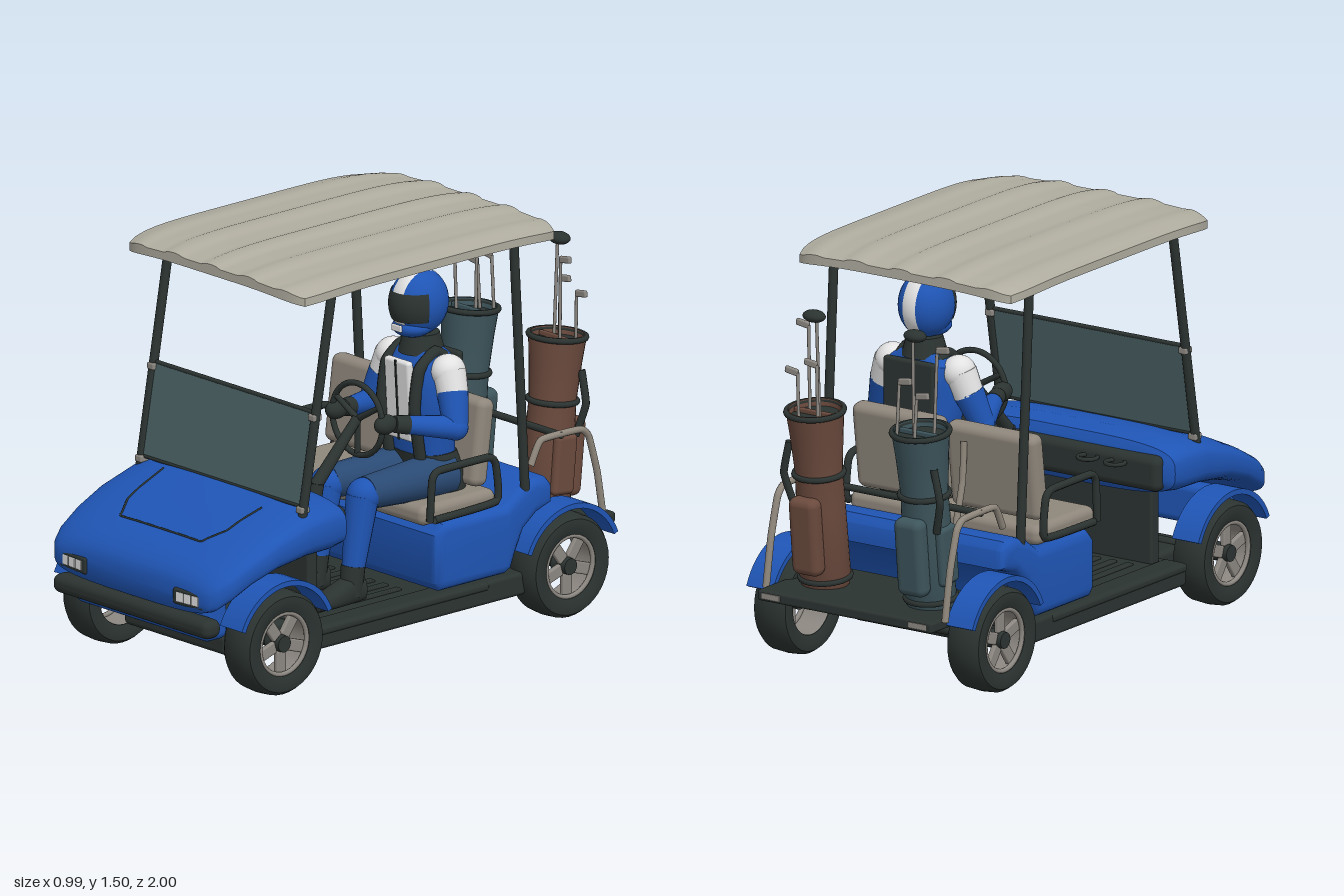
import * as THREE from 'three';
import { toCreasedNormals } from 'three/addons/utils/BufferGeometryUtils.js';
import { RoundedBoxGeometry } from 'three/addons/geometries/RoundedBoxGeometry.js';

const mat = (name, color, side = THREE.FrontSide) => {
  const m = new THREE.MeshStandardMaterial({ color, side });
  m.name = name;
  return m;
};
const V = (p) => new THREE.Vector3(...p);

// Stacked superellipse rings [x, y, z, halfWidth, halfHeight], z increasing
function loft(rings, n = 2, seg = 40) {
  const pos = [], idx = [], e = 2 / n;
  const pw = (v) => Math.sign(v) * Math.abs(v) ** e;
  for (const [x, y, z, a, b] of rings)
    for (let j = 0; j < seg; j++) {
      const t = (j / seg) * Math.PI * 2;
      pos.push(x + a * pw(Math.cos(t)), y + b * pw(Math.sin(t)), z);
    }
  const last = rings.length - 1, c = rings.length * seg;
  for (const r of [rings[0], rings[last]]) pos.push(r[0], r[1], r[2]);
  for (let j = 0; j < seg; j++) {
    const k = (j + 1) % seg;
    for (let i = 0; i < last; i++) {
      const p = i * seg, q = p + seg;
      idx.push(p + j, p + k, q + k, p + j, q + k, q + j);
    }
    idx.push(c, k, j, c + 1, last * seg + j, last * seg + k);
  }
  const g = new THREE.BufferGeometry();
  g.setAttribute('position', new THREE.Float32BufferAttribute(pos, 3));
  g.setIndex(idx);
  return toCreasedNormals(g, 0.7);
}

// Side profile of [z, y] points, extruded across x about centre cx
function sideExtrude(pts, width, cx, bevel = 0) {
  const s = new THREE.Shape(pts.map((p) => new THREE.Vector2(...p)));
  const g = new THREE.ExtrudeGeometry(s, {
    depth: width - 2 * bevel, bevelEnabled: bevel > 0, bevelSize: bevel, bevelOffset: -bevel,
    bevelThickness: bevel, bevelSegments: 4,
  });
  g.translate(0, 0, -(width - 2 * bevel) / 2).rotateY(-Math.PI / 2).translate(cx, 0, 0);
  return toCreasedNormals(g, 0.7);
}

export function createModel() {
  const root = new THREE.Group();
  root.name = 'golfCart';
  const blue = mat('blue paint', 0x1f55b5), dark = mat('dark trim', 0x2b3331, THREE.DoubleSide);
  const cream = mat('cream roof', 0xb0ada0), beige = mat('beige seat', 0x8f877c);
  const brown = mat('brown leather', 0x6b4a3d), teal = mat('slate bag', 0x3d555c);
  const glass = mat('tinted screen', 0x4b6265), white = mat('white', 0xe2e2e2);
  const denim = mat('slate blue cloth', 0x2a4a74), metal = mat('rim metal', 0x8c8781, THREE.DoubleSide);

  const add = (name, geo, m, p = [0, 0, 0], r = [0, 0, 0], parent = root) => {
    const mesh = new THREE.Mesh(geo, m);
    mesh.name = name;
    mesh.position.set(...p);
    mesh.rotation.set(...r);
    parent.add(mesh);
    return mesh;
  };
  const box = (name, w, h, d, m, p, rad = 0.01, r, parent) =>
    add(name, new RoundedBoxGeometry(w, h, d, 3, rad), m, p, r, parent);
  const ball = (name, r, s, m, p, parent) => add(name, new THREE.SphereGeometry(r, 24, 16), m, p, undefined, parent).scale.set(...s);
  const tube = (name, pts, r, m, parent) =>
    add(name, new THREE.TubeGeometry(new THREE.CatmullRomCurve3(pts.map(V), false, 'catmullrom', 0.2), pts.length * 8, r, 10), m, undefined, undefined, parent);
  // Tapered rod between two points
  const rod = (name, a, b, r1, r2, m, parent) => {
    const A = V(a), B = V(b), d = B.clone().sub(A);
    const mesh = add(name, new THREE.CylinderGeometry(r2, r1, d.length(), 18), m, A.clone().add(B).multiplyScalar(0.5).toArray(), undefined, parent);
    mesh.quaternion.setFromUnitVectors(new THREE.Vector3(0, 1, 0), d.normalize());
  };

  // Front cowl: [z, bottom, top, halfWidth]
  const cowl = [[0.35, 0.49, 0.61, 0.43], [0.37, 0.46, 0.652, 0.462], [0.43, 0.45, 0.672, 0.475], [0.55, 0.45, 0.66, 0.478],
    [0.7, 0.435, 0.61, 0.477], [0.82, 0.4, 0.556, 0.468], [0.91, 0.35, 0.51, 0.453], [0.955, 0.325, 0.48, 0.432], [0.975, 0.325, 0.455, 0.41], [0.985, 0.345, 0.43, 0.38]];
  add('frontCowl', loft(cowl.map(([z, b, t, w]) => [0, (b + t) / 2, z, w, (t - b) / 2]), 3.6, 56), blue);
  const cowlTop = (x, z) => {
    const i = Math.max(1, cowl.findIndex((s) => s[0] >= z));
    const [p, q] = [cowl[i - 1], cowl[i]], k = (z - p[0]) / (q[0] - p[0]);
    const [b, t, w] = [1, 2, 3].map((n) => p[n] + (q[n] - p[n]) * k);
    return (b + t) / 2 + ((t - b) / 2) * (1 - Math.abs(x / w) ** 3.6) ** (1 / 3.6);
  };
  // Bonnet seam laid on the cowl
  const corners = [[-0.28, 0.57], [-0.26, 0.76], [-0.21, 0.84], [0.21, 0.84], [0.26, 0.76], [0.28, 0.57]], seam = [];
  for (let i = 0; i < 5; i++)
    for (let k = 0; k < 5; k++) {
      const x = corners[i][0] + (corners[i + 1][0] - corners[i][0]) * k / 5, z = corners[i][1] + (corners[i + 1][1] - corners[i][1]) * k / 5;
      seam.push([x, cowlTop(x, z), z]);
    }
  tube('bonnetSeam', seam, 0.004, dark);
  box('frontApron', 0.7, 0.15, 0.11, blue, [0, 0.29, 0.885], 0.03);
  box('frontBumper', 0.82, 0.07, 0.08, dark, [0, 0.283, 0.955], 0.03);
  box('firewall', 0.68, 0.3, 0.05, dark, [0, 0.34, 0.42]);
  box('dashboard', 0.84, 0.13, 0.07, dark, [0, 0.55, 0.355], 0.03);
  for (const x of [-0.25, -0.13]) add('cupHolder', new THREE.TorusGeometry(0.035, 0.008, 8, 24), dark, [x, 0.58, 0.3], [Math.PI / 2, 0, 0]);

  // Chassis
  box('floorPan', 0.54, 0.075, 1.35, dark, [0, 0.153, 0.1], 0.02);
  box('floor', 0.7, 0.02, 1.0, dark, [0, 0.187, -0.02], 0.005);
  for (let i = -4; i <= 4; i++) box('floorRib', 0.03, 0.01, 0.4, dark, [i * 0.07, 0.2, 0.15], 0.004);
  box('rearDeck', 0.76, 0.04, 0.42, dark, [0, 0.29, -0.79]);
  for (const z of [0.685, -0.69]) rod('axle', [-0.4, 0.19, z], [0.4, 0.19, z], 0.018, 0.018, dark);

  // Seat pod
  add('seatPod', sideExtrude([[-0.085, 0.24], [-0.085, 0.42], [-0.12, 0.46], [-0.42, 0.46], [-0.49, 0.51], [-0.56, 0.535], [-0.62, 0.53], [-0.645, 0.5],
    [-0.645, 0.43], [-0.57, 0.405], [-0.51, 0.36], [-0.475, 0.29], [-0.45, 0.225], [-0.42, 0.21], [-0.11, 0.21]].reverse(), 0.89, 0, 0.035), blue);

  // Wheels, arches and everything paired left and right
  const arch = [];
  for (let i = 0; i <= 20; i++) { const t = 0.4 + (i / 20) * 2.35; arch.push([Math.cos(t) * 0.235, Math.sin(t) * 0.235]); }
  for (let i = 20; i >= 0; i--) { const t = 0.4 + (i / 20) * 2.35; arch.push([Math.cos(t) * 0.215, Math.sin(t) * 0.215]); }
  const tyre = [[0.118, -0.06], [0.15, -0.072], [0.175, -0.068], [0.188, -0.05], [0.192, 0], [0.188, 0.05], [0.175, 0.068], [0.15, 0.072], [0.118, 0.06], [0.118, -0.06]];
  for (const s of [-1, 1]) {
    for (const z of [0.685, -0.69]) {
      const wheel = new THREE.Group();
      wheel.name = 'wheel';
      wheel.position.set(s * 0.421, 0.193, z);
      wheel.rotation.z = -s * Math.PI / 2;
      root.add(wheel);
      add('tyre', toCreasedNormals(new THREE.LatheGeometry(tyre.map((p) => new THREE.Vector2(...p)), 40), 0.6), dark, undefined, undefined, wheel);
      add('rim', new THREE.CylinderGeometry(0.117, 0.117, 0.115, 40, 1, true), metal, undefined, undefined, wheel);
      add('rimLip', new THREE.TorusGeometry(0.112, 0.009, 8, 40), metal, [0, 0.052, 0], [Math.PI / 2, 0, 0], wheel);
      add('hub', new THREE.CylinderGeometry(0.03, 0.035, 0.07, 20), dark, [0, 0.025, 0], undefined, wheel);
      for (let i = 0; i < 5; i++) {
        const a = i * Math.PI * 0.4;
        box('spoke', 0.085, 0.02, 0.045, metal, [Math.cos(a) * 0.07, 0.035, -Math.sin(a) * 0.07], 0.006, [0, a, 0], wheel);
      }
      add('fender', sideExtrude(arch, 0.115, 0), blue, [s * 0.435, 0.193, z]);
    }
    box('sideStep', 0.1, 0.085, 1.0, dark, [s * 0.385, 0.158, -0.02], 0.015);
    box('stepTread', 0.06, 0.03, 0.82, dark, [s * 0.41, 0.183, 0.07], 0.012);
    // Headlights and tail lights
    box('headlightFrame', 0.15, 0.062, 0.03, dark, [s * 0.302, 0.382, 0.974], 0.01, [0, s * 0.08, 0]);
    for (let i = -1; i <= 1; i++) box('headlight', 0.033, 0.036, 0.008, white, [s * 0.302 + i * 0.037, 0.382, 0.988 - s * i * 0.003], 0.003, [0, s * 0.08, 0]);
    box('tailLight', 0.08, 0.022, 0.008, metal, [s * 0.32, 0.29, -0.999], 0.003);
    // Roof posts and armrests
    rod('frontPost', [s * 0.425, 0.6, 0.553], [s * 0.425, 1.465, 0.4], 0.017, 0.017, dark);
    rod('rearPost', [s * 0.425, 0.48, -0.522], [s * 0.425, 1.465, -0.465], 0.017, 0.017, dark);
    for (const y of [0.65, 0.98]) box('screenBracket', 0.035, 0.025, 0.04, metal, [s * 0.422, y, 0.55 - (y - 0.62) * 0.178], 0.006);
    tube('armrest', [[s * 0.43, 0.48, -0.06], [s * 0.43, 0.63, -0.07], [s * 0.43, 0.66, -0.1], [s * 0.43, 0.66, -0.34], [s * 0.43, 0.63, -0.375], [s * 0.43, 0.49, -0.38], [s * 0.43, 0.48, -0.08]], 0.014, dark);
    // Seats
    box('seatCushion', 0.41, 0.075, 0.36, beige, [s * 0.208, 0.492, -0.22], 0.03);
    box('backrest', 0.39, 0.32, 0.075, beige, [s * 0.205, 0.7, -0.355], 0.03, [-0.13, 0, 0]);
    tube('backrestSupport', [[s * 0.1, 0.5, -0.46], [s * 0.1, 0.65, -0.42], [s * 0.1, 0.8, -0.41]], 0.012, beige);
    // Bag rack
    tube('bagRack', [[s * 0.39, 0.57, -0.58], [s * 0.39, 0.655, -0.63], [s * 0.39, 0.655, -0.82], [s * 0.39, 0.62, -0.86], [s * 0.39, 0.48, -0.9], [s * 0.39, 0.3, -0.93]], 0.013, beige);
  }
  rod('rackBar', [-0.4, 0.655, -0.72], [0.4, 0.655, -0.72], 0.013, 0.013, dark);

  // Windscreen
  box('windscreen', 0.83, 0.335, 0.012, glass, [0, 0.828, 0.513], 0.004, [-0.177, 0, 0]);
  for (const y of [0.66, 0.995]) rod('screenBar', [-0.42, y, 0.55 - (y - 0.62) * 0.178], [0.42, y, 0.55 - (y - 0.62) * 0.178], 0.008, 0.008, dark);

  // Roof: box bent down at its edges, with lengthwise ridges
  const roof = new THREE.BoxGeometry(0.99, 0.03, 1.26, 56, 1, 24), rp = roof.attributes.position;
  for (let i = 0; i < rp.count; i++) {
    const x = rp.getX(i), z = rp.getZ(i), u = Math.abs(x / 0.495), v = Math.abs(z / 0.63);
    const ridge = rp.getY(i) > 0 ? 0.009 * Math.max(0, Math.cos(x * 30)) ** 0.6 * (1 - u ** 8) : 0;
    rp.setXYZ(i, x * (1 - 0.07 * v ** 9), 1.475 + rp.getY(i) + ridge - 0.02 * u ** 4 - 0.025 * v ** 5, z * (1 - 0.05 * u ** 10) - 0.03);
  }
  add('roof', toCreasedNormals(roof, 0.6), cream);

  // Steering
  rod('steeringPedestal', [0.2, 0.31, 0.345], [0.2, 0.64, 0.275], 0.028, 0.028, dark);
  rod('steeringColumn', [0.2, 0.63, 0.28], [0.2, 0.84, 0.08], 0.024, 0.018, dark);
  add('steeringWheel', new THREE.TorusGeometry(0.132, 0.011, 10, 40), dark, [0.2, 0.838, 0.078]);
  for (const a of [0, 2.1, 4.2]) rod('steeringSpoke', [0.2, 0.838, 0.078], [0.2 + 0.13 * Math.sin(a), 0.838 - 0.13 * Math.cos(a), 0.078], 0.012, 0.01, dark);

  // Driver
  const driver = new THREE.Group();
  driver.name = 'driver';
  driver.position.x = 0.2;
  root.add(driver);
  const torso = (rings) => loft(rings.map(([y, w, d, z]) => [0, -z, y, w, d]), 2.5).rotateX(-Math.PI / 2);
  add('torso', torso([[0.66, 0.12, 0.09, -0.24], [0.8, 0.135, 0.095, -0.225], [0.92, 0.16, 0.1, -0.22], [1.01, 0.145, 0.085, -0.23], [1.05, 0.08, 0.06, -0.23]]), blue, undefined, undefined, driver);
  add('hips', torso([[0.52, 0.14, 0.1, -0.27], [0.6, 0.145, 0.1, -0.26], [0.67, 0.125, 0.093, -0.24]]), dark, undefined, undefined, driver);
  box('chestPanel', 0.13, 0.3, 0.03, white, [0, 0.87, -0.128], 0.012, [0.06, 0, 0], driver);
  box('zip', 0.008, 0.3, 0.006, dark, [0, 0.87, -0.112], 0.002, [0.06, 0, 0], driver);
  box('backPanel', 0.22, 0.32, 0.03, dark, [0, 0.87, -0.32], 0.012, undefined, driver);
  add('collar', new THREE.CylinderGeometry(0.065, 0.085, 0.07, 24), dark, [0, 1.065, -0.23], undefined, driver);
  for (const s of [-1, 1]) {
    const P = (x, y, z) => [s * x, y, z];
    tube('harness', [P(0.08, 0.66, -0.15), P(0.085, 0.85, -0.118), P(0.085, 0.99, -0.14), P(0.085, 1.045, -0.22), P(0.085, 0.97, -0.32)], 0.022, dark, driver);
    ball('shoulder', 0.062, [1, 1, 1.05], white, P(0.145, 0.985, -0.225), driver);
    rod('sleeveTop', P(0.15, 0.985, -0.225), P(0.182, 0.905, -0.215), 0.062, 0.056, white, driver);
    rod('upperArm', P(0.18, 0.915, -0.215), P(0.222, 0.8, -0.19), 0.057, 0.045, blue, driver);
    ball('elbow', 0.046, [1, 1, 1], blue, P(0.222, 0.8, -0.19), driver);
    rod('forearm', P(0.222, 0.8, -0.19), P(0.15, 0.83, -0.02), 0.045, 0.033, blue, driver);
    rod('cuff', P(0.152, 0.829, -0.025), P(0.135, 0.838, 0.025), 0.035, 0.031, dark, driver);
    ball('glove', 0.04, [0.8, 0.9, 1.2], dark, P(0.128, 0.842, 0.06), driver);
    rod('thigh', P(0.075, 0.585, -0.27), P(0.095, 0.595, 0.13), 0.085, 0.06, denim, driver);
    ball('knee', 0.062, [1, 1, 1], blue, P(0.095, 0.59, 0.135), driver);
    rod('shin', P(0.095, 0.59, 0.14), P(0.095, 0.3, 0.19), 0.06, 0.04, blue, driver);
    rod('bootTop', P(0.095, 0.34, 0.185), P(0.095, 0.23, 0.2), 0.044, 0.042, dark, driver);
    add('boot', loft([[s * 0.095, 0.25, 0.15, 0.036, 0.045], [s * 0.095, 0.252, 0.22, 0.042, 0.05], [s * 0.095, 0.237, 0.3, 0.045, 0.034], [s * 0.095, 0.225, 0.365, 0.03, 0.02]], 2.6, 24), dark, undefined, undefined, driver);
  }
  // Helmet with stripe and visor as thin shells
  const shell = (name, k, m, args, turn = 0) => {
    const g = new THREE.SphereGeometry(1, 32, 20, ...args).rotateZ(turn);
    add(name, g.scale(0.098 * k, 0.122 * k, 0.113 * k), m, [0, 1.213, -0.218], undefined, driver);
  };
  shell('helmet', 1, blue, []);
  shell('helmetStripe', 1.012, white, [0, Math.PI * 2, Math.PI / 2 - 0.28, 0.56], Math.PI / 2);
  shell('visor', 1.03, dark, [Math.PI / 2 - 1.25, 2.5, 1.15, 0.88]);
  ball('chinGuard', 0.08, [0.9, 0.5, 0.95], blue, [0, 1.13, -0.188], driver);
  box('chinVent', 0.05, 0.025, 0.01, white, [0, 1.135, -0.111], 0.004, undefined, driver);

  // Golf bags with clubs, mirrored
  for (const [s, m] of [[1, brown], [-1, teal]]) {
    const bag = new THREE.Group();
    bag.name = 'golfBag';
    bag.position.set(s * 0.23, 0.31, -0.79);
    bag.rotation.x = -0.1;
    root.add(bag);
    const prof = [[0, 0], [0.085, 0], [0.092, 0.02], [0.088, 0.3], [0.085, 0.42], [0.095, 0.56], [0.105, 0.66], [0.095, 0.665], [0.09, 0.63], [0, 0.63]];
    add('bagBody', toCreasedNormals(new THREE.LatheGeometry(prof.map((p) => new THREE.Vector2(...p)), 32), 0.6), m, undefined, undefined, bag);
    for (const [y, r] of [[0.655, 0.103], [0.42, 0.088], [0.03, 0.09]]) add('bagBand', new THREE.TorusGeometry(r, 0.011, 8, 32), dark, [0, y, 0], [Math.PI / 2, 0, 0], bag);
    add('bagOpening', new THREE.CylinderGeometry(0.09, 0.09, 0.005, 32), dark, [0, 0.635, 0], undefined, bag);
    box('bagDivider', 0.18, 0.02, 0.015, m, [0, 0.645, 0], 0.005, undefined, bag);
    box('bagPocket', 0.12, 0.29, 0.07, m, [0, 0.21, -0.095], 0.03, undefined, bag);
    box('sidePocket', 0.04, 0.22, 0.1, m, [s * 0.08, 0.2, 0], 0.018, undefined, bag);
    tube('bagStrap', [[s * 0.08, 0.3, -0.05], [s * 0.11, 0.42, -0.06], [s * 0.085, 0.54, -0.05]], 0.014, dark, bag);
    // Clubs: foot to head in world terms
    for (const [x, y, z] of [[0.28, 1.26, -0.825], [0.18, 1.15, -0.915], [0.26, 1.11, -0.92]]) {
      rod('clubShaft', [s * (x - 0.01), 0.9, z - 0.005], [s * x, y, z], 0.006, 0.006, metal);
      box('ironHead', 0.055, 0.025, 0.016, metal, [s * (x + 0.025), y + 0.003, z], 0.006, [0, 0, s * 0.15]);
    }
    rod('driverShaft', [s * 0.205, 0.9, -0.86], [s * 0.21, 1.31, -0.875], 0.006, 0.006, metal);
    ball('driverHead', 0.045, [1, 0.5, 0.75], dark, [s * 0.22, 1.315, -0.875]);
  }
  return root;
}
